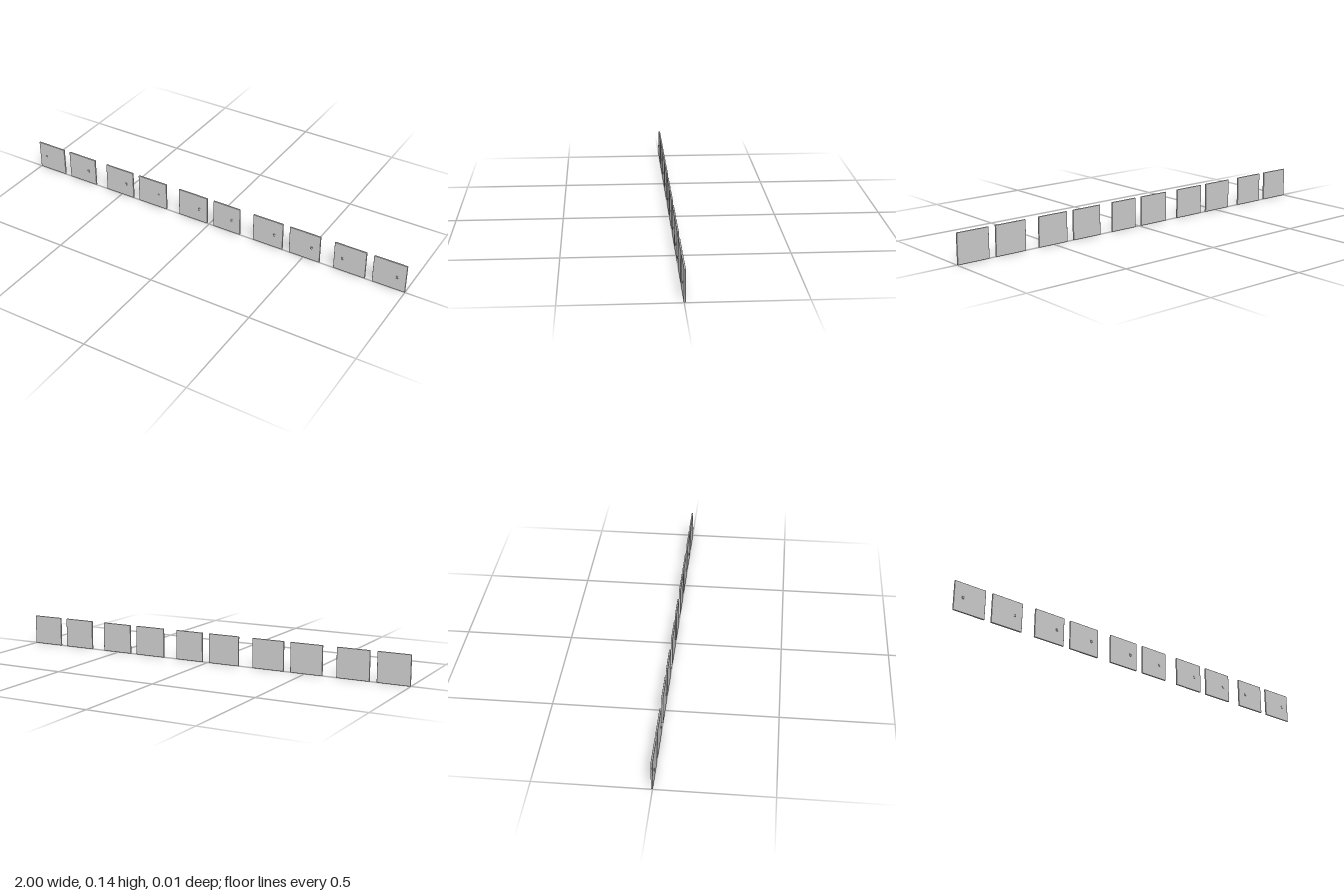
import * as THREE from 'three';
import { RoundedBoxGeometry } from 'three/addons/geometries/RoundedBoxGeometry.js';

const HEIGHT = 0.141, THICK = 0.008, BACK = -0.0065;
const FRONT = BACK + THICK;

// left edge, right edge, side on which the handle sits
const PANELS = [
  [-1.0, -0.845, -1], [-0.812, -0.655, 1],
  [-0.588, -0.43, 1], [-0.397, -0.238, 1],
  [-0.167, -0.01, 1], [0.025, 0.168, 1],
  [0.238, 0.393, 1], [0.427, 0.583, 1],
  [0.652, 0.808, -1], [0.842, 1.0, 1],
];

export function createModel() {
  const group = new THREE.Group();
  group.name = 'panelRow';
  const mat = new THREE.MeshStandardMaterial({ color: 0xcccccc });

  const add = (parent, geo, name, x, y, z) => {
    const mesh = new THREE.Mesh(geo, mat);
    mesh.name = name;
    mesh.position.set(x, y, z);
    parent.add(mesh);
  };

  const stemGeo = new THREE.BoxGeometry(0.007, 0.004, 0.004);
  const gripGeo = new THREE.BoxGeometry(0.009, 0.011, 0.003);

  PANELS.forEach(([x0, x1, side], i) => {
    const door = new THREE.Group();
    door.name = `door${i + 1}`;
    door.position.x = (x0 + x1) / 2;
    const w = x1 - x0;

    // slab with softly rounded edges
    add(door, new RoundedBoxGeometry(w, HEIGHT, THICK, 3, 0.0025), 'panel',
      0, HEIGHT / 2, BACK + THICK / 2);

    // small hooked handle: stem on the panel, grip hanging from it
    const hx = side * (w / 2 - 0.042);
    add(door, stemGeo, 'handleStem', hx, 0.072, FRONT + 0.0015);
    add(door, gripGeo, 'handleGrip', hx, 0.0685, 0.005);
    group.add(door);
  });
  return group;
}
